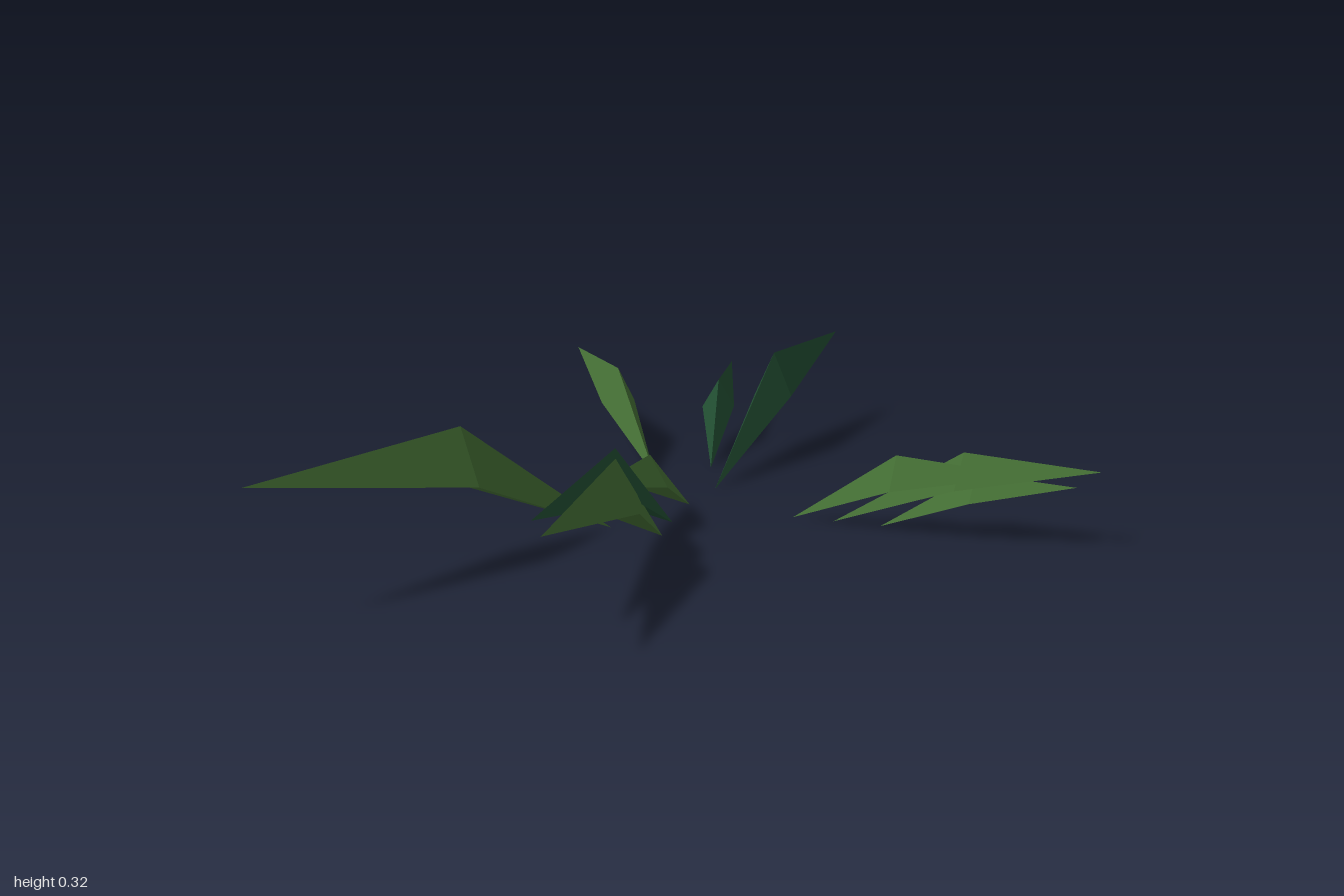
import * as THREE from 'three';

// Each leaf: a folded blade with a pointed base, a ridge over two lower edges, and a pointed tip.
const LEAVES = [
  { color: 'leafGreen', base: [-0.04, 0.12], left: [-0.49, 0.22], right: [-0.44, 0.31], tip: [-1, 0.29, 0.455], ridgeY: 0.32, edgeY: 0.19 },
  { color: 'leafGreen', base: [0.25, -0.25], left: [0.24, -0.56], right: [0.335, -0.56], tip: [0.335, 0.2, -0.935], ridgeY: 0.218, edgeY: 0.128 },
  { color: 'deepGreen', base: [0.335, -0.08], left: [0.6, -0.37], right: [0.67, -0.3], tip: [1, 0.245, -0.64], ridgeY: 0.273, edgeY: 0.16 },
  { color: 'deepGreen', base: [0.42, -0.27], left: [0.51, -0.5], right: [0.59, -0.47], tip: [0.72, 0.165, -0.735], ridgeY: 0.178, edgeY: 0.105 },
  { color: 'leafGreen', base: [0.215, 0.02], left: [-0.01, 0.17], right: [0.06, 0.215], tip: [-0.19, 0.17, 0.35], ridgeY: 0.187, edgeY: 0.11 },
  { color: 'deepGreen', base: [0.11, 0.14], left: [-0.2, 0.385], right: [-0.13, 0.45], tip: [-0.505, 0.245, 0.765], ridgeY: 0.275, edgeY: 0.16 },
  { color: 'leafGreen', base: [0.04, 0.23], left: [-0.26, 0.505], right: [-0.18, 0.575], tip: [-0.55, 0.262, 0.925], ridgeY: 0.287, edgeY: 0.17 },
  { color: 'leafGreen', base: [0.46, 0.29], left: [0.715, 0.48], right: [0.635, 0.53], tip: [0.89, 0.182, 0.735], ridgeY: 0.197, edgeY: 0.115 },
  { color: 'leafGreen', base: [0.39, 0.22], left: [0.585, 0.385], right: [0.515, 0.445], tip: [0.755, 0.165, 0.64], ridgeY: 0.182, edgeY: 0.105 },
  { color: 'leafGreen', base: [0.54, 0.37], left: [0.73, 0.5], right: [0.66, 0.555], tip: [0.85, 0.142, 0.7], ridgeY: 0.15, edgeY: 0.088 },
];

function leafGeometry({ base, left, right, tip, ridgeY, edgeY }) {
  const root = [base[0], 0, base[1]];
  const l = [left[0], edgeY, left[1]];
  const r = [right[0], edgeY, right[1]];
  const ridge = [(left[0] + right[0]) / 2, ridgeY, (left[1] + right[1]) / 2];
  // Two slopes from the base to the middle, two from the middle to the tip
  const faces = [root, ridge, l, root, r, ridge, tip, l, ridge, tip, ridge, r];
  const geometry = new THREE.BufferGeometry();
  geometry.setAttribute('position', new THREE.Float32BufferAttribute(faces.flat(), 3));
  geometry.computeVertexNormals();
  return geometry;
}

export function createModel() {
  const make = (name, color) => {
    const material = new THREE.MeshStandardMaterial({ color, side: THREE.DoubleSide, flatShading: true });
    material.name = name;
    return material;
  };
  const materials = {
    leafGreen: make('leafGreen', 0x446e34),
    deepGreen: make('deepGreen', 0x214d31),
  };

  const plant = new THREE.Group();
  plant.name = 'leafCluster';
  LEAVES.forEach((leaf, i) => {
    const mesh = new THREE.Mesh(leafGeometry(leaf), materials[leaf.color]);
    mesh.name = `leaf${i + 1}`;
    plant.add(mesh);
  });
  return plant;
}
